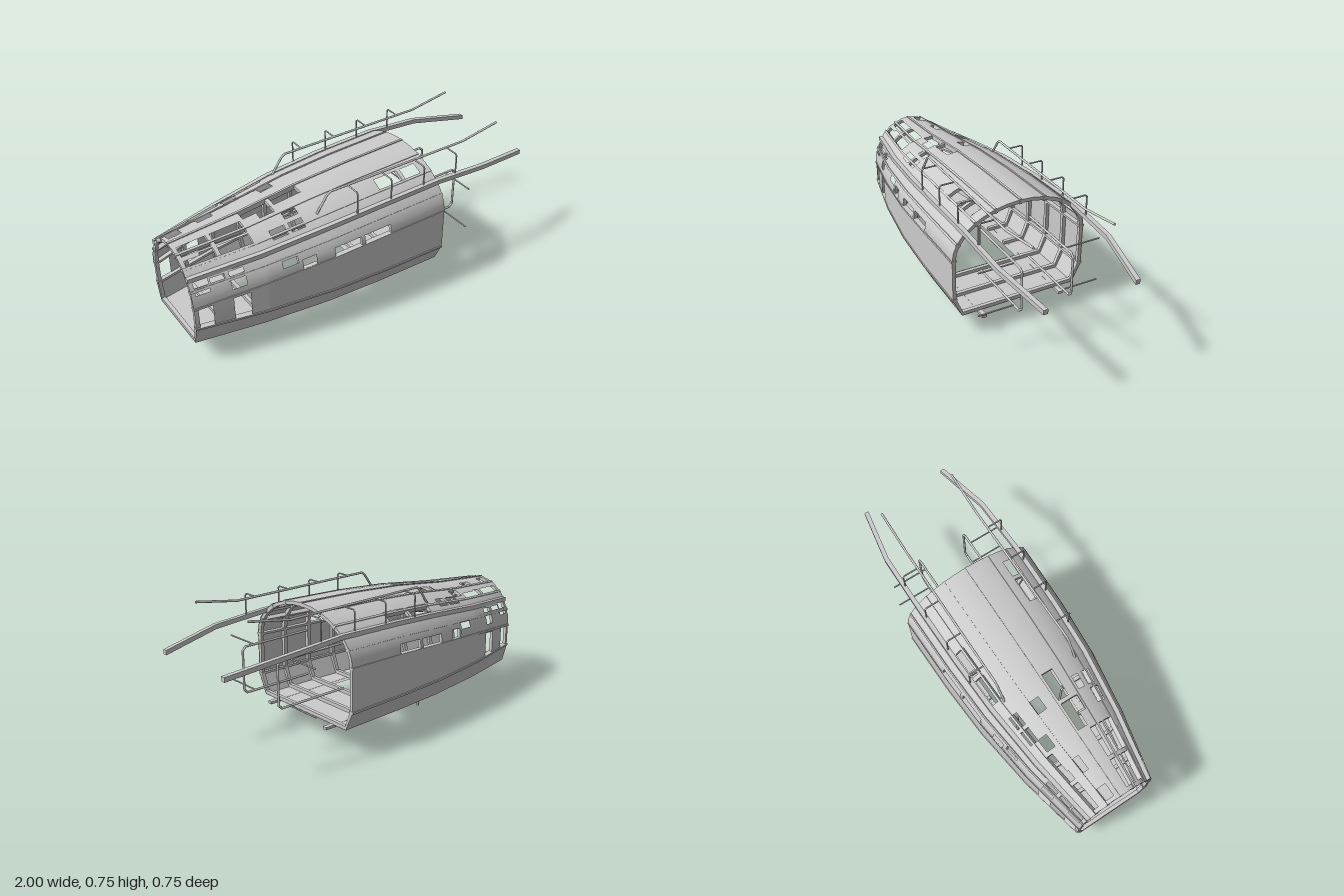
import * as THREE from 'three';
import { toCreasedNormals } from 'three/addons/utils/BufferGeometryUtils.js';

const metal = new THREE.MeshStandardMaterial({ color: 0xcccccc, side: THREE.DoubleSide });
const FLOOR = 0.12, CHINE = 0.225;
// hull stations: x, half width, height where the roof arc springs, top height
const STATIONS = [[-1, 0.218, 0.345, 0.597], [-0.64, 0.297, 0.39, 0.624], [-0.3, 0.345, 0.42, 0.665],
  [0, 0.364, 0.44, 0.685], [0.365, 0.372, 0.45, 0.697]];

function station(x) {
  let i = 0;
  while (i < STATIONS.length - 2 && x > STATIONS[i + 1][0]) i++;
  const a = STATIONS[i], b = STATIONS[i + 1], t = (x - a[0]) / (b[0] - a[0]);
  return [1, 2, 3].map(k => a[k] + (b[k] - a[k]) * t);
}

// u runs round the section: 0 floor centre, 1 floor edge, 2 chine, 3 arc start, 4 top, then mirrored to 8
function outline(x, u) {
  u = ((u % 8) + 8) % 8;
  const s = u > 4 ? 8 - u : u, side = u > 4 ? -1 : 1;
  const [w, spring, top] = station(x), e = w * 0.865;
  let z, y;
  if (s < 1) { z = e * s; y = FLOOR; }
  else if (s < 2) { z = e + (w - e) * (s - 1); y = FLOOR + (CHINE - FLOOR) * (s - 1); }
  else if (s < 3) { z = w; y = CHINE + (spring - CHINE) * (s - 2); }
  else {
    const a = (s - 3) * Math.PI / 2;
    z = w * Math.cos(a); y = spring + (top - spring) * Math.sin(a);
  }
  return new THREE.Vector3(x, y, z * side);
}

// point on the hull moved inward by d
function hull(x, u, d = 0) {
  const p = outline(x, u), t = outline(x, u + 0.01).sub(outline(x, u - 0.01)).normalize();
  return p.add(new THREE.Vector3(0, t.z * d, -t.y * d));
}

function meshOf(points, name) {
  const g = new THREE.BufferGeometry().setFromPoints(points);
  const m = new THREE.Mesh(toCreasedNormals(g, 0.32), metal);
  m.name = name;
  return m;
}

// bar swept through four-cornered cross-sections
function loft(rings, closed, name) {
  const pts = [], n = rings.length;
  const quad = (a, b, c, d) => pts.push(a, b, c, a, c, d);
  for (let i = 0; i < (closed ? n : n - 1); i++) {
    const r = rings[i], q = rings[(i + 1) % n];
    for (let k = 0; k < 4; k++) quad(r[k], r[(k + 1) % 4], q[(k + 1) % 4], q[k]);
  }
  if (!closed) { quad(...[...rings[0]].reverse()); quad(...rings[n - 1]); }
  return meshOf(pts, name);
}

// round rod through a list of points, with ball joints
function rod(points, r, name) {
  const g = new THREE.Group();
  g.name = name;
  const v = points.map(p => new THREE.Vector3(...p));
  for (let i = 0; i < v.length - 1; i++) {
    const d = v[i + 1].clone().sub(v[i]);
    const c = new THREE.Mesh(new THREE.CylinderGeometry(r, r, d.length(), 10), metal);
    c.position.copy(v[i]).addScaledVector(d, 0.5);
    c.quaternion.setFromUnitVectors(new THREE.Vector3(0, 1, 0), d.normalize());
    g.add(c);
    if (i) {
      const j = new THREE.Mesh(new THREE.SphereGeometry(r, 10, 6), metal);
      j.position.copy(v[i]);
      g.add(j);
    }
  }
  return g;
}

function uFromY(x, y) {
  const [, spring, top] = station(x);
  return y < spring ? 2 + (y - CHINE) / (spring - CHINE)
    : 3 + Math.asin(Math.min(1, (y - spring) / (top - spring))) * 2 / Math.PI;
}
const uFromZ = (x, z) => 3 + Math.acos(Math.min(1, Math.abs(z) / station(x)[0])) * 2 / Math.PI;

function skin() {
  const holes = [];
  // openings on both flanks: x0, x1, y0, y1
  const flank = [[-1, -0.91, 0.225, 0.35], [-0.82, -0.73, 0.225, 0.36], [-1, -0.91, 0.42, 0.445],
    [-1, -0.91, 0.455, 0.485], [-0.82, -0.74, 0.41, 0.46], [-0.9, -0.74, 0.47, 0.49], [-0.56, -0.48, 0.45, 0.485],
    [-0.48, -0.39, 0.415, 0.465], [-0.3, 0.04, 0.435, 0.485], [-1, -0.65, 0.55, 0.572], [-0.56, -0.39, 0.573, 0.6]];
  for (const [x0, x1, y0, y1] of flank) {
    const x = (x0 + x1) / 2, a = uFromY(x, y0), b = uFromY(x, y1);
    holes.push([x0, x1, a, b], [x0, x1, 8 - b, 8 - a]);
  }
  // roof openings: x0, x1, z0, z1
  const roof = [[-0.64, -0.31, 0, 0.063], [-0.56, -0.48, 0.063, 0.1], [-0.48, -0.39, -0.12, -0.065],
    [-0.64, -0.56, -0.175, -0.13], [-0.48, -0.39, 0.13, 0.165], [-0.3, 0.04, -0.27, -0.225], [0.04, 0.3, 0.18, 0.245],
    [-1, -0.65, 0.055, 0.115], [-0.9, -0.65, 0.13, 0.17], [-1, -0.76, -0.165, -0.125], [-0.82, -0.73, -0.1, -0.06],
    [-1, -0.91, -0.08, -0.03]];
  for (const [x0, x1, z0, z1] of roof) {
    const x = (x0 + x1) / 2, a = uFromZ(x, z0), b = uFromZ(x, z1);
    const lo = Math.min(a, b), hi = Math.max(a, b);
    holes.push(z0 + z1 > 0 ? [x0, x1, lo, hi] : [x0, x1, 8 - hi, 8 - lo]);
  }
  // floor hatch
  holes.push([-0.62, 0, -1, 0.58], [-0.62, 0, 7.42, 9]);

  const sorted = a => [...new Set(a.map(v => +v.toFixed(4)))].sort((p, q) => p - q);
  const xs = sorted([...STATIONS.map(s => s[0]), ...holes.flatMap(h => [h[0], h[1]])]);
  const us = [0, 1, 2, 3, 5, 6, 7, 8];
  for (let i = 1; i < 16; i++) us.push(3 + i / 8);
  for (const h of holes) us.push(...[h[2], h[3]].filter(u => u > 0 && u < 8));
  const ul = sorted(us), pts = [];
  for (let i = 0; i < xs.length - 1; i++) for (let j = 0; j < ul.length - 1; j++) {
    const [x0, x1, u0, u1] = [xs[i], xs[i + 1], ul[j], ul[j + 1]];
    const xm = (x0 + x1) / 2, um = (u0 + u1) / 2;
    if (holes.some(h => xm > h[0] && xm < h[1] && um > h[2] && um < h[3])) continue;
    const [a, b, c, d] = [outline(x0, u0), outline(x1, u0), outline(x1, u1), outline(x0, u1)];
    pts.push(a, b, c, a, c, d);
  }
  return meshOf(pts, 'hullSkin');
}

export function createModel() {
  const model = new THREE.Group();
  model.add(skin());

  // ring frames, left open across the floor hatch
  const loop = [0.6, 1, 2, 3];
  for (let i = 1; i <= 8; i++) loop.push(3 + i / 8);
  const full = [...loop, ...loop.slice(0, -1).reverse().map(u => 8 - u)];
  for (const x of [-0.988, -0.82, -0.64, -0.47, -0.3, -0.13, 0.04, 0.2, 0.353]) {
    const rings = full.map(u => [[-0.01, 0.001], [0.01, 0.001], [0.01, 0.02], [-0.01, 0.02]]
      .map(([dx, d]) => hull(x + dx, u, d)));
    model.add(loft(rings, x < -0.62 || x > 0, 'ringFrame'));
  }

  // lengthwise stringers inside the skin
  for (const u of [2, 3, 3.24, 3.54, 3.76, 4, 4.24, 4.46, 4.76, 5, 6]) {
    const rings = STATIONS.map(([x]) => [[-0.006, -0.004], [0.006, -0.004], [0.006, 0.024], [-0.006, 0.024]]
      .map(([w, d]) => {
        const t = outline(x, u + 0.01).sub(outline(x, u - 0.01)).normalize();
        return hull(x, u, d).addScaledVector(t, w);
      }));
    model.add(loft(rings, false, 'stringer'));
  }

  for (const s of [1, -1]) {
    // long outer beam that runs on past the open end
    const path = STATIONS.map(([x]) => outline(x, 3.4));
    path.push(new THREE.Vector3(0.68, 0.574, 0.297), new THREE.Vector3(1, 0.528, 0.24));
    model.add(loft(path.map(p => [[-0.012, -0.012], [0.012, -0.012], [0.012, 0.012], [-0.012, 0.012]]
      .map(([y, z]) => new THREE.Vector3(p.x, p.y + y, (p.z + z) * s))), false, 'outerBeam'));

    // roof rail and its brackets
    const rz = 0.21 * s;
    model.add(rod([[-0.31, 0.61, rz], [-0.3, 0.625, rz], [-0.25, 0.695, rz], [-0.23, 0.709, rz],
      [0.6, 0.709, rz], [0.835, 0.748, rz]], 0.006, 'roofRail'));
    for (const x of [-0.13, 0.075, 0.28, 0.49])
      model.add(rod([[x, 0.709, rz], [x, 0.709, 0.285 * s], [x, 0.7, 0.295 * s], [x, 0.59, 0.295 * s]],
        0.004, 'railBracket'));

    // looped handrail at the open end with two cross bars
    const hz = 0.14 * s;
    model.add(rod([[0.22, 0.492, hz], [0.61, 0.492, hz], [0.628, 0.475, hz], [0.628, 0.268, hz],
      [0.61, 0.25, hz], [0.22, 0.25, hz]], 0.006, 'endHandrail'));
    for (const y of [0.492, 0.25]) model.add(rod([[0.56, y, hz], [0.56, y, 0.335 * s]], 0.004, 'handrailCrossBar'));

    // prop through the floor hatch
    model.add(rod([[-0.333, 0, hz], [-0.333, 0.25, hz]], 0.006, 'prop'));

    // runner under the floor
    const runner = new THREE.Mesh(new THREE.BoxGeometry(0.95, 0.014, 0.025), metal);
    runner.position.set(-0.06, 0.114, 0.222 * s);
    runner.name = 'floorRunner';
    model.add(runner);
  }
  return model;
}
